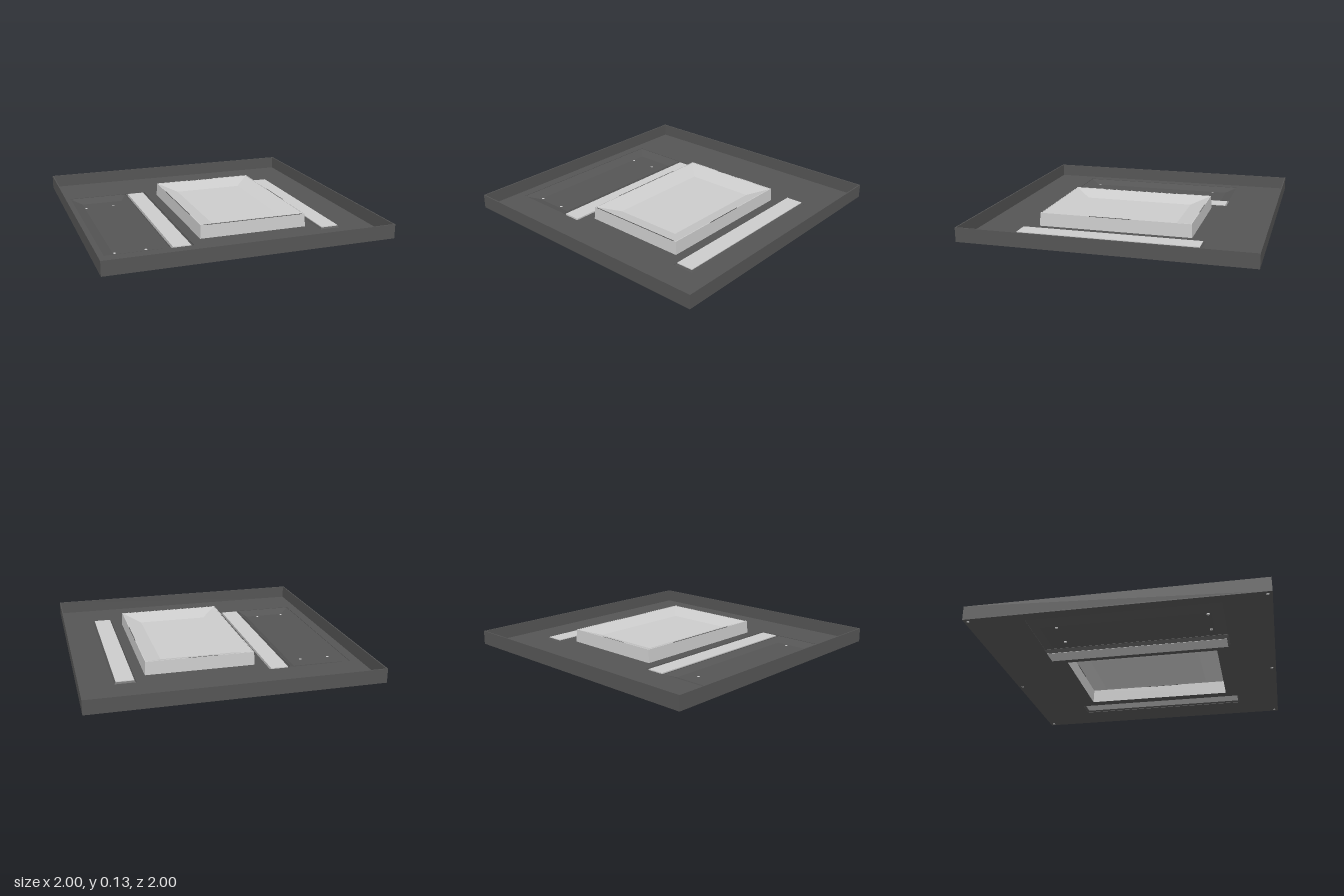
import * as THREE from 'three';

const material = (color) =>
  new THREE.MeshStandardMaterial({ color, side: THREE.DoubleSide, flatShading: true });

// Rectangles are [x0, x1, z0, z1]
const corners = ([x0, x1, z0, z1], y) => [[x0, y, z0], [x0, y, z1], [x1, y, z1], [x1, y, z0]];
const grow = ([x0, x1, z0, z1], d) => [x0 - d, x1 + d, z0 - d, z1 + d];

// Skin through stacked rectangles [rect, y]; optionally closes the last one
function skin(sections, cap) {
  const pos = [], quad = (a, b, c, d) => pos.push(...a, ...b, ...c, ...a, ...c, ...d);
  for (let s = 0; s + 1 < sections.length; s++) {
    const a = corners(...sections[s]), b = corners(...sections[s + 1]);
    for (let i = 0; i < 4; i++) {
      const j = (i + 1) % 4;
      quad(a[i], a[j], b[j], b[i]);
    }
  }
  if (cap) quad(...corners(...sections[sections.length - 1]));
  const g = new THREE.BufferGeometry();
  g.setAttribute('position', new THREE.Float32BufferAttribute(pos, 3));
  g.computeVertexNormals();
  return g;
}

// Flat sheet with rectangular openings, from height y0 to y1
function sheet(outer, holes, y0, y1) {
  const points = (r) => corners(r, 0).map(([x, , z]) => new THREE.Vector2(x, -z));
  const shape = new THREE.Shape(points(outer));
  holes.forEach((h) => shape.holes.push(new THREE.Path(points(h))));
  const g = new THREE.ExtrudeGeometry(shape, { depth: y1 - y0, bevelEnabled: false });
  return g.rotateX(-Math.PI / 2).translate(0, y0, 0);
}

export function createModel() {
  const model = new THREE.Group();
  const dark = material(0x555555), light = material(0xcccccc);
  const add = (name, geometry, mat) => {
    const mesh = new THREE.Mesh(geometry, mat);
    mesh.name = name;
    model.add(mesh);
    return mesh;
  };

  const outer = [-1, 1, -1, 1];
  const recess = [-0.92, -0.48, -0.6, 0.69];
  const recessFloor = [-0.84, -0.53, -0.52, 0.61];
  const leftBar = [0.62, 0.745, -0.59, 0.68];
  const rightBar = [-0.46, -0.335, -0.59, 0.68];
  const opening = [-0.245, 0.535, -0.5, 0.595];

  // Shallow tray: thin floor with openings and an upright rim
  add('trayFloor', sheet(outer, [recess, grow(leftBar, 0.012), grow(rightBar, 0.015), opening],
    0.03, 0.036), dark);
  add('trayRim', sheet(outer, [grow(outer, -0.008)], 0.03, 0.13), dark);

  // Wide pressed recess on the right half
  add('recess', skin([[recess, 0.033], [recessFloor, 0.006]], true), dark);

  // Long bars, one pressed up and one pressed down, in sloping dark slots
  const bar = (name, rect, edge, y0, y1, yEnd) => {
    add(name + 'Slot', skin([[grow(rect, edge), 0.033], [rect, yEnd]], false), dark);
    add(name, sheet(rect, [], y0, y1), light);
  };
  bar('leftBar', leftBar, 0.012, 0.042, 0.05, 0.045);
  bar('rightBar', rightBar, 0.015, 0.006, 0.036, 0.008);

  // Raised window frame, open beneath, holding a dished panel
  const frameTop = grow(opening, -0.006);
  add('windowFrame', skin([[opening, 0.03], [frameTop, 0.13], [grow(frameTop, -0.006), 0.13]], false), light);
  add('windowPanel', skin([[grow(frameTop, -0.006), 0.128], [[-0.11, 0.4, -0.36, 0.45], 0.085]], true), light);

  // Thin seams between the panel and its frame
  const seams = [
    [-0.24, -0.236, -0.25, 0.35], [0.526, 0.53, -0.07, 0.23],
    [0.02, 0.23, -0.494, -0.49], [-0.22, 0.51, 0.586, 0.59],
  ];
  seams.forEach((r) => add('panelSeam', sheet(r, [], 0.128, 0.131), dark));

  // Small studs under the floor and feet under the recess
  const stud = (name, x, z, top, h) =>
    add(name, new THREE.CylinderGeometry(0.01, 0.01, h, 12), light).position.set(x, top - h / 2, z);
  for (const z of [-0.97, 0.97]) for (const x of [-0.97, 0.12, 0.97]) stud('stud', x, z, 0.031, 0.004);
  for (const z of [-0.41, 0.59]) for (const x of [-0.83, -0.62]) stud('foot', x, z, 0.007, 0.007);

  return model;
}
